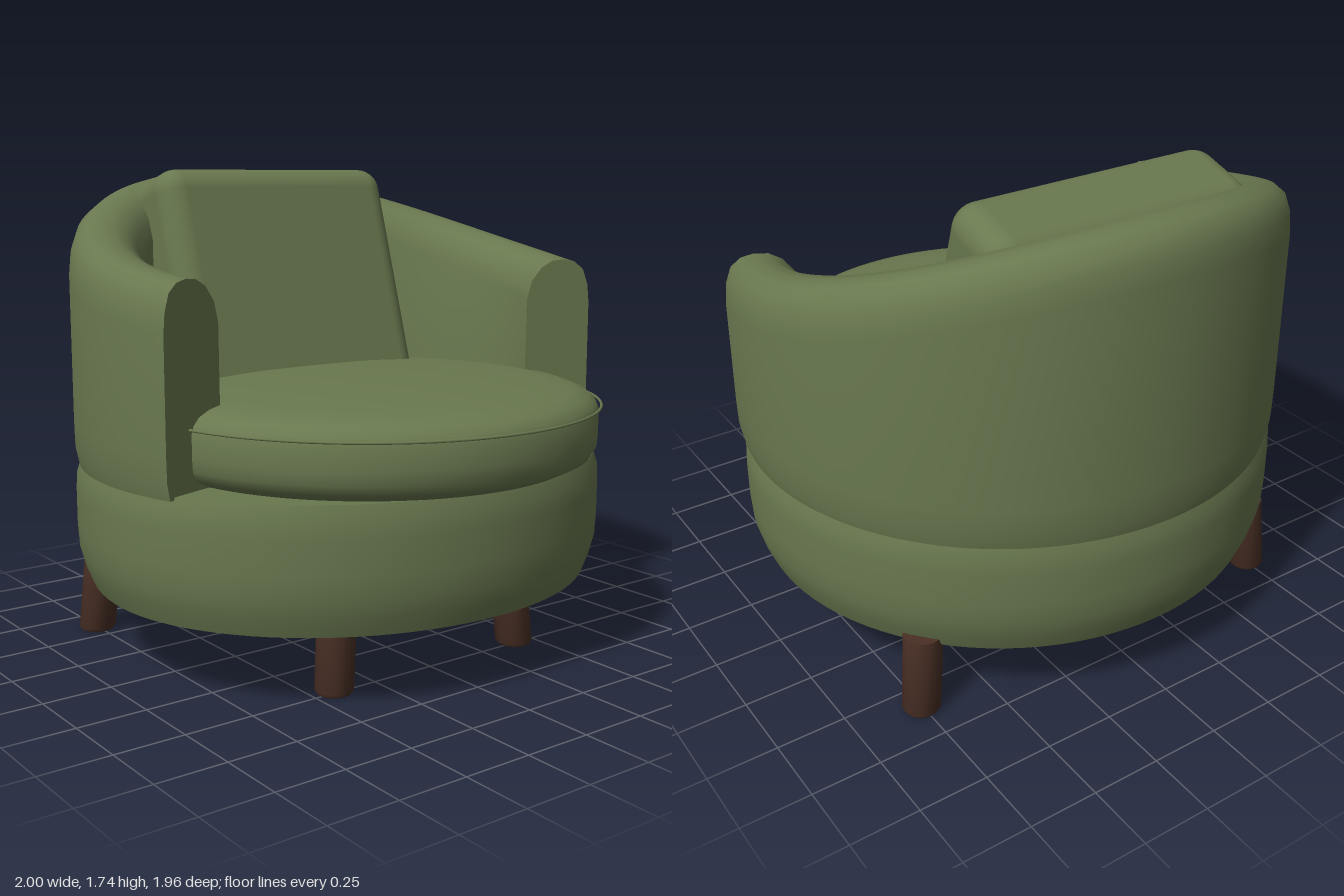
import * as THREE from 'three';
import { toCreasedNormals } from 'three/addons/utils/BufferGeometryUtils.js';
import { RoundedBoxGeometry } from 'three/addons/geometries/RoundedBoxGeometry.js';

const fabric = new THREE.MeshStandardMaterial({ color: 0x69784f });
fabric.name = 'greenFabric';
const wood = new THREE.MeshStandardMaterial({ color: 0x4a3026 });
wood.name = 'darkWood';

const vec = (pts) => pts.map(([x, y]) => new THREE.Vector2(x, y));

// Move every vertex by a rule
function deform(geo, rule) {
  const p = geo.attributes.position;
  const v = new THREE.Vector3();
  for (let i = 0; i < p.count; i++) {
    v.fromBufferAttribute(p, i);
    rule(v);
    p.setXYZ(i, v.x, v.y, v.z);
  }
  return toCreasedNormals(geo, 0.75);
}

export function createModel() {
  const group = new THREE.Group();
  const add = (name, geo, mat) => {
    const mesh = new THREE.Mesh(geo, mat);
    mesh.name = name;
    group.add(mesh);
    return mesh;
  };

  // Upholstered base drum, shallower towards the front
  const baseProfile = vec([[0, 0.27], [0.95, 0.27], [0.975, 0.33], [0.995, 0.4], [1, 0.48],
    [1, 0.6], [0.997, 0.66], [0.98, 0.71], [0, 0.71]]);
  add('base', deform(new THREE.LatheGeometry(baseProfile, 96), (v) => {
    v.z *= v.z > 0 ? 0.87 : 0.98;
  }), fabric);

  // Wrap-around back and arms: a swept wall whose crest rises to the rear
  const wall = vec([[0.985, 0.7], [0.998, 0.76], [1, 0.85], [1, 1.23], [0.993, 1.3], [0.972, 1.36],
    [0.935, 1.39], [0.89, 1.4], [0.84, 1.395], [0.795, 1.37], [0.755, 1.32], [0.735, 1.25], [0.73, 0.7]]);
  const phi = 1.243;
  const shell = new THREE.LatheGeometry([...wall, wall[0].clone()], 80, phi, Math.PI * 2 - phi * 2);
  add('backAndArms', deform(shell, (v) => {
    const crestZ = 0.89 * v.z / Math.hypot(v.x, v.z);
    const d = Math.max(0, 0.285 - crestZ);
    if (v.y > 1) v.y += 0.116 * d + 0.149 * d * d;
    if (v.z < 0) v.z *= 0.985;
  }), fabric);

  // Flat fronts closing both arms
  for (const side of [1, -1]) {
    const cap = new THREE.ShapeGeometry(new THREE.Shape(wall));
    cap.rotateY(phi - Math.PI / 2);
    add(side > 0 ? 'leftArmFront' : 'rightArmFront', cap, fabric).scale.x = side;
  }

  // Round seat cushion with a thin piping ring
  const cushion = vec([[0, 0.705], [0.7, 0.705], [0.77, 0.712], [0.825, 0.74], [0.845, 0.775], [0.848, 0.82],
    [0.848, 0.9], [0.838, 0.925], [0.81, 0.95], [0.76, 0.968], [0.66, 0.982], [0.4, 1.0], [0, 1.008]]);
  add('seatCushion', toCreasedNormals(new THREE.LatheGeometry(cushion, 96), 0.9), fabric)
    .position.z = 0.11;
  const piping = add('seatPiping', new THREE.TorusGeometry(0.857, 0.005, 8, 96).rotateX(Math.PI / 2), fabric);
  piping.position.set(0, 0.915, 0.11);

  // Leaning back pillow
  const pillow = add('backPillow', new RoundedBoxGeometry(1.03, 0.894, 0.33, 6, 0.09), fabric);
  pillow.position.set(0, 1.288, -0.461);
  pillow.rotation.x = -0.296;

  // Splayed round legs with softened feet
  const legProfile = vec([[0, 0], [0.06, 0], [0.068, 0.012], [0.069, 0.3], [0, 0.3]]);
  for (const side of [1, -1]) {
    for (const [name, x, z, dz] of [['FrontLeg', 0.417, 0.49, 0.015], ['BackLeg', 0.752, -0.595, -0.015]]) {
      const leg = deform(new THREE.LatheGeometry(legProfile, 24), (v) => {
        const t = v.y / 0.28;
        v.x += side * (x - 0.024 * t);
        v.z += z - dz * t;
      });
      add((side > 0 ? 'left' : 'right') + name, leg, wood);
    }
  }
  return group;
}
